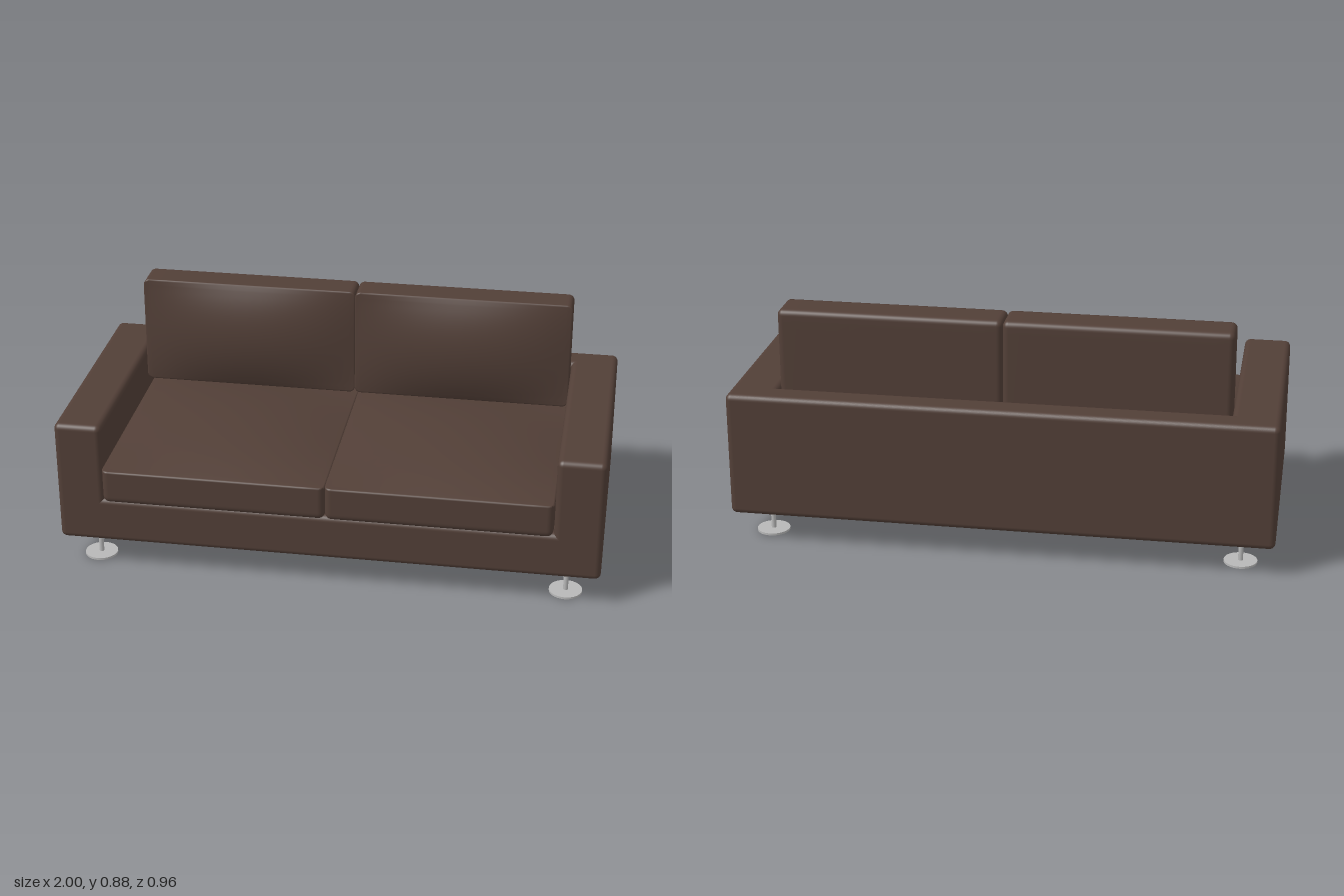
import * as THREE from 'three';
import { mergeVertices } from 'three/addons/utils/BufferGeometryUtils.js';
import { RoundedBoxGeometry } from 'three/addons/geometries/RoundedBoxGeometry.js';

// Cushion pad: edges rounded except around the +z face, which swells into a crown
function padGeometry(w, h, d, r, crown) {
  const N = 24, K = 4; // K segments of each side fall inside the rounded edge
  const half = [w / 2, h / 2, d / 2];
  let geo = new THREE.BoxGeometry(2, 2, 2, N, N, N);
  geo.deleteAttribute('uv');
  geo.deleteAttribute('normal');
  geo = mergeVertices(geo);
  const pos = geo.attributes.position;
  const edge = 1 - (2 * K) / N;
  const spread = (t, a) => {
    const s = Math.abs(t), inner = half[a] - r;
    return Math.sign(t) * (s <= edge ? (s / edge) * inner : inner + ((s - edge) / (1 - edge)) * r);
  };
  const p = new THREE.Vector3(), core = new THREE.Vector3(), out = new THREE.Vector3();
  for (let i = 0; i < pos.count; i++) {
    p.set(spread(pos.getX(i), 0), spread(pos.getY(i), 1), spread(pos.getZ(i), 2));
    core.set(
      THREE.MathUtils.clamp(p.x, r - half[0], half[0] - r),
      THREE.MathUtils.clamp(p.y, r - half[1], half[1] - r),
      Math.max(p.z, r - half[2])
    );
    out.subVectors(p, core);
    // turn square corners into arcs
    const reach = Math.max(Math.abs(out.x), Math.abs(out.y), Math.abs(out.z));
    if (reach > 0) out.setLength(reach);
    p.addVectors(core, out);
    const u = p.x / half[0], v = p.y / half[1];
    const lift = Math.max(0, p.z / half[2]);
    p.z += crown * (1 - u * u) * (1 - v * v) * lift;
    pos.setXYZ(i, p.x, p.y, p.z);
  }
  geo.computeVertexNormals();
  return geo;
}

export function createModel() {
  const group = new THREE.Group();
  const brown = new THREE.MeshStandardMaterial({ color: 0x523f37 });
  brown.name = 'brown upholstery';
  const metal = new THREE.MeshStandardMaterial({ color: 0xb8b8b8 });
  metal.name = 'grey metal';

  const add = (name, geo, mat, x, y, z) => {
    const mesh = new THREE.Mesh(geo, mat);
    mesh.name = name;
    mesh.position.set(x, y, z);
    group.add(mesh);
    return mesh;
  };
  const block = (name, x0, x1, y0, y1, z0, z1) =>
    add(name, new RoundedBoxGeometry(x1 - x0, y1 - y0, z1 - z0, 4, 0.022), brown,
      (x0 + x1) / 2, (y0 + y1) / 2, (z0 + z1) / 2);

  // Frame: overlapping blocks share their outer faces
  block('base', -1, 1, 0.11, 0.285, -0.48, 0.455);
  block('backrest', -1, 1, 0.11, 0.58, -0.48, -0.37);
  block('leftArm', 0.825, 1, 0.11, 0.58, -0.48, 0.455);
  block('rightArm', -1, -0.825, 0.11, 0.58, -0.48, 0.455);

  // Cushions
  const seat = padGeometry(0.824, 0.85, 0.13, 0.025, 0.055);
  const back = padGeometry(0.824, 0.418, 0.13, 0.022, 0.052);
  // Feet
  const post = new THREE.CylinderGeometry(0.009, 0.009, 0.112, 16);
  const disc = new THREE.CylinderGeometry(0.061, 0.061, 0.008, 32);

  for (const [side, s] of [['left', 1], ['right', -1]]) {
    add(side + 'SeatCushion', seat, brown, s * 0.412, 0.348, 0.055).rotation.x = -Math.PI / 2;
    add(side + 'BackCushion', back, brown, s * 0.412, 0.666, -0.3);
    for (const [end, z] of [['Front', 0.357], ['Back', -0.353]]) {
      add(side + end + 'LegPost', post, metal, s * 0.875, 0.06, z);
      add(side + end + 'LegDisc', disc, metal, s * 0.875, 0.004, z);
    }
  }
  return group;
}
